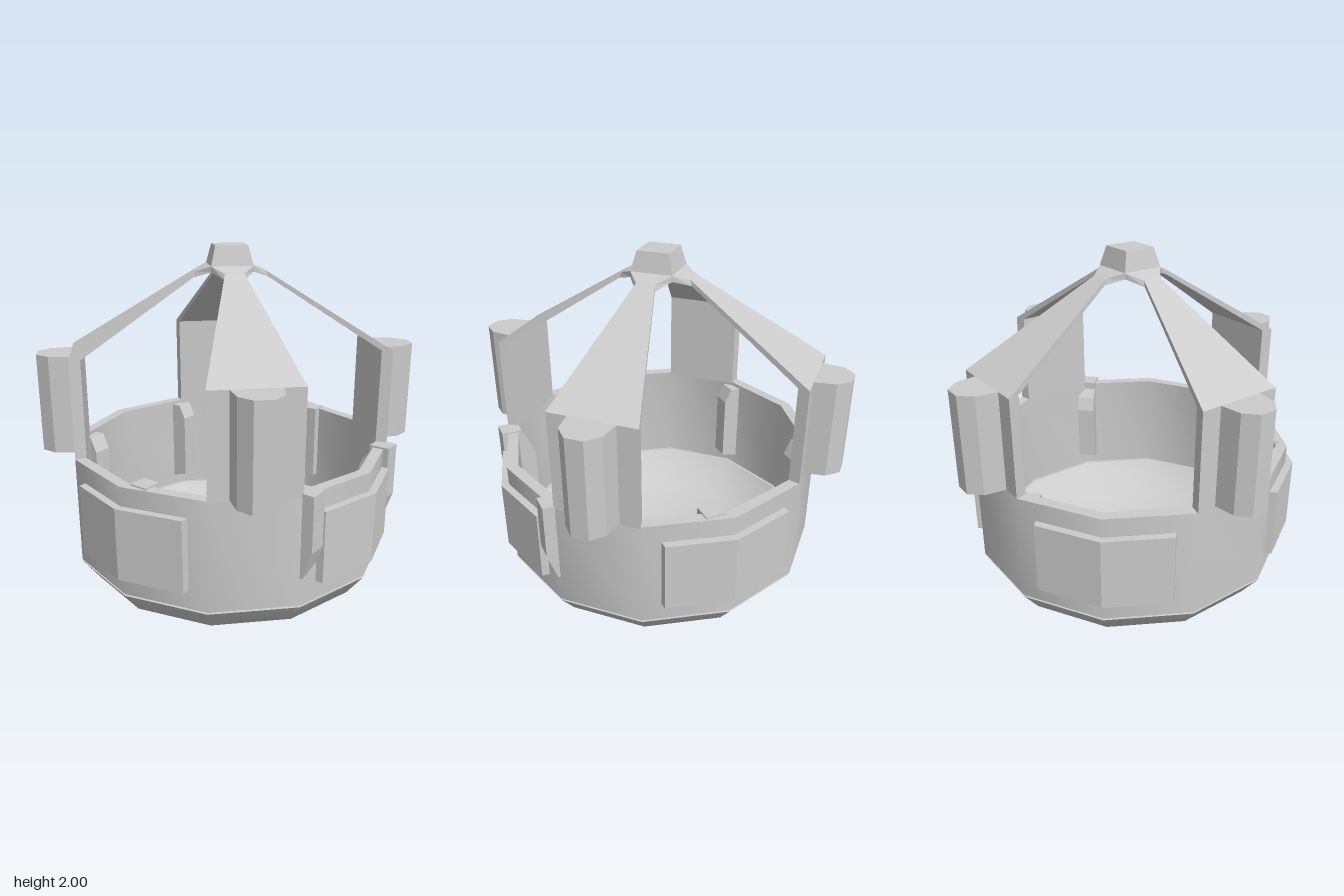
import * as THREE from 'three';
import { toCreasedNormals } from 'three/addons/utils/BufferGeometryUtils.js';

const grey = new THREE.MeshStandardMaterial({ color: 0xcccccc });
const flat = new THREE.MeshStandardMaterial({ color: 0xcccccc, flatShading: true });
const RAD = Math.PI / 180;

function part(name, geometry, material = flat) {
  const mesh = new THREE.Mesh(geometry, material);
  mesh.name = name;
  return mesh;
}

// Closed twelve-sided turning with smooth sides and sharp rims
function turned(name, profile, sides = 12) {
  const points = profile.map(([r, y]) => new THREE.Vector2(r, y));
  const geometry = new THREE.LatheGeometry(points, sides);
  return part(name, toCreasedNormals(geometry, 0.7), grey);
}

// Upright prism from a plan outline of [x, z] corners
function prism(outline, y0, y1) {
  const shape = new THREE.Shape(outline.map(([x, z]) => new THREE.Vector2(x, -z)));
  const geometry = new THREE.ExtrudeGeometry(shape, { depth: y1 - y0, bevelEnabled: false });
  return geometry.rotateX(-Math.PI / 2).translate(0, y0, 0);
}

// Slice with a side profile of [radius, y], from z0 to z1
function slice(profile, z0, z1) {
  const shape = new THREE.Shape(profile.map(([r, y]) => new THREE.Vector2(r, y)));
  const geometry = new THREE.ExtrudeGeometry(shape, { depth: z1 - z0, bevelEnabled: false });
  return geometry.translate(0, 0, z0);
}

// Solid through four-cornered sections, each counter-clockwise from above
function loft(sections) {
  const index = [];
  const quad = (a, b, c, d) => index.push(a, b, c, a, c, d);
  for (let s = 0; s < sections.length - 1; s++) {
    for (let i = 0; i < 4; i++) {
      const j = (i + 1) % 4, a = s * 4, b = a + 4;
      quad(a + i, a + j, b + j, b + i);
    }
  }
  const t = (sections.length - 1) * 4;
  quad(0, 3, 2, 1);
  quad(t, t + 1, t + 2, t + 3);
  const geometry = new THREE.BufferGeometry();
  geometry.setAttribute('position', new THREE.Float32BufferAttribute(sections.flat(2), 3));
  geometry.setIndex(index);
  geometry.computeVertexNormals();
  return geometry;
}

// Section between two spokes, with its outer and inner radius and height
function sector(rOut, yOut, rIn, yIn, from = 30, to = 60) {
  const at = (r, y, deg) => [r * Math.cos(deg * RAD), y, r * Math.sin(deg * RAD)];
  return [at(rOut, yOut, to), at(rOut, yOut, from), at(rIn, yIn, from), at(rIn, yIn, to)];
}

export function createModel() {
  const model = new THREE.Group();

  // Ring wall and shallow bowl below it
  model.add(turned('ring', [[0.81, 0.36], [0.87, 0.36], [0.87, 0.94], [0.81, 0.94], [0.81, 0.36]]));
  model.add(turned('bowl', [
    [0, 0], [0.445, 0.06], [0.78, 0.23], [0.87, 0.35], [0.8, 0.355],
    [0.73, 0.29], [0.6, 0.2], [0, 0.06],
  ]));

  // Four posts with sloping arms, round bosses and bent wall panels
  const post = loft([
    sector(0.87, 0.93, 0.81, 0.93),
    sector(0.87, 1.46, 0.81, 1.46),
    sector(0.19, 1.87, 0.2, 1.84),
    sector(0.155, 1.9, 0.155, 1.87, 0, 90),
  ]);
  const boss = prism([
    [0.81, -0.12], [0.84, -0.12], [0.95, -0.105], [1.015, -0.045],
    [1.015, 0.045], [0.95, 0.105], [0.84, 0.12], [0.81, 0.12],
  ], 0.94, 1.46).rotateY(-Math.PI / 4);
  const panel = prism([
    [0.91, 0], [0.819, 0.34], [0.77, 0.34], [0.85, 0], [0.77, -0.34], [0.819, -0.34],
  ], 0.46, 0.84);
  for (let k = 0; k < 4; k++) {
    const quarter = new THREE.Group();
    quarter.name = 'quarter';
    quarter.rotation.y = k * Math.PI / 2;
    quarter.add(part('postAndArm', post), part('boss', boss), part('wallPanel', panel));
    model.add(quarter);
  }

  // Square cap where the arms meet
  const cap = new THREE.LatheGeometry(
    [[0, 1.87], [0.155, 1.87], [0.155, 1.9], [0.12, 2], [0, 2]].map(([r, y]) => new THREE.Vector2(r, y)), 4);
  model.add(part('cap', cap));

  // Clips hooked over the front rim, with matching pads inside the back
  const hook = [[0.7, 0.95], [0.7, 0.5], [0.76, 0.51], [0.81, 0.66], [0.81, 0.95]];
  const pad = [[0.66, 0.86], [0.63, 0.78], [0.63, 0.45], [0.71, 0.42], [0.71, 0.92]];
  for (const side of [-1, 1]) {
    const clip = new THREE.Group();
    clip.name = 'frontClip';
    clip.add(part('hook', slice(hook, -0.05, 0.05)), part('pad', slice(pad, -0.05, 0.05)));
    clip.rotation.y = -Math.PI / 2;
    clip.position.x = side * 0.39;
    model.add(clip);

    const backPad = part('backPad', slice([[0.62, 0.45], [0.73, 0.42], [0.73, 0.92], [0.66, 0.92], [0.62, 0.84]], -0.05, 0.05));
    backPad.rotation.y = Math.PI / 2;
    backPad.position.x = side * 0.39;
    model.add(backPad);

    // Clips inside the left and right of the wall
    const inner = [[0.73, 0.45], [0.82, 0.42], [0.82, 0.9], [0.76, 0.9], [0.73, 0.84]];
    const top = [[0.73, 0.5], [0.825, 0.5], [0.825, 0.948], [0.73, 0.948]];
    const z = (a, b) => side > 0 ? [a, b] : [-b, -a];
    const sideClip = new THREE.Group();
    sideClip.name = 'sideClip';
    sideClip.add(part('pad', slice(inner, ...z(-0.05, 0.03))), part('hook', slice(top, ...z(0.03, 0.13))));
    sideClip.rotation.y = side > 0 ? 0 : Math.PI;
    model.add(sideClip);
  }
  return model;
}
